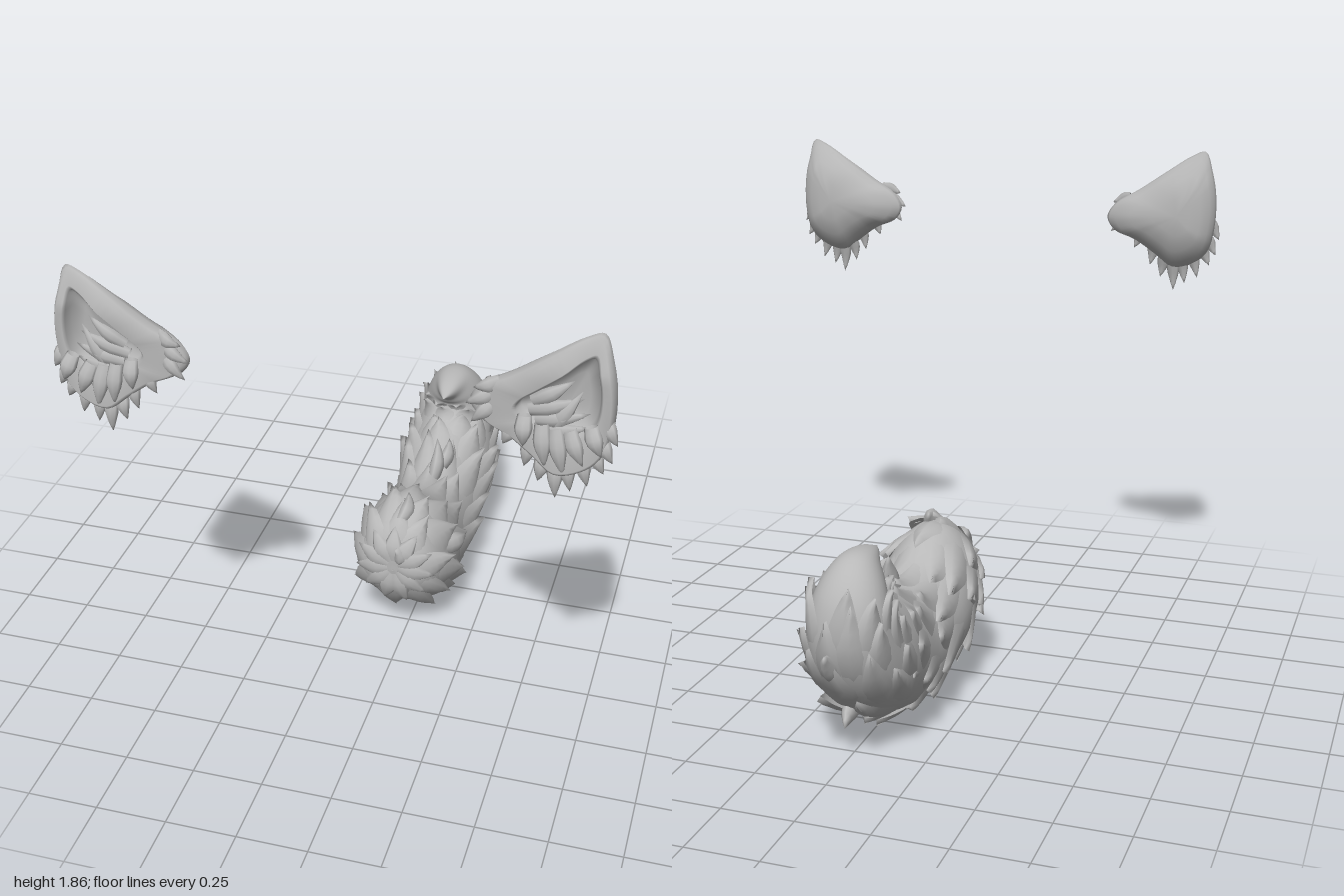
import * as THREE from 'three';
import { mergeVertices, mergeGeometries } from 'three/addons/utils/BufferGeometryUtils.js';

const V = (x, y, z) => new THREE.Vector3(x, y, z);
const fur = new THREE.MeshStandardMaterial({ color: 0xb8b8b8, side: THREE.DoubleSide });
fur.name = 'greyFur';

// Smooth surface through rows i = 0..m and columns j = 0..n of at(i, j)
function grid(m, n, at, flip = false) {
  const pos = [], idx = [];
  for (let i = 0; i <= m; i++) for (let j = 0; j <= n; j++) pos.push(...at(i, j).toArray());
  for (let i = 0; i < m; i++) {
    for (let j = 0; j < n; j++) {
      const a = i * (n + 1) + j, b = a + n + 1, c = a + 1, d = b + 1;
      idx.push(...(flip ? [a, c, b, c, d, b] : [a, b, c, c, b, d]));
    }
  }
  const geo = new THREE.BufferGeometry();
  geo.setAttribute('position', new THREE.Float32BufferAttribute(pos, 3));
  geo.setIndex(idx);
  const merged = mergeVertices(geo, 1e-4);
  merged.computeVertexNormals();
  return merged;
}

function part(name, geo) {
  const mesh = new THREE.Mesh(geo, fur);
  mesh.name = name;
  return mesh;
}

// Width of a lock of fur from root (0) to tip (1)
const taper = t => t < 0.4 ? 0.75 + 0.6 * t : Math.pow((1 - t) / 0.6, 0.85);

// Free-standing pointed lock from a to b, lens-shaped in section
function lock(a, b, normal, width, thick) {
  const d = b.clone().sub(a);
  const side = d.clone().cross(normal).normalize();
  return grid(6, 8, (i, j) => {
    const t = i / 6, q = j / 8 * Math.PI * 2, k = taper(t);
    return a.clone().addScaledVector(d, t)
      .addScaledVector(side, Math.cos(q) * width * k)
      .addScaledVector(normal, Math.sin(q) * thick * k + 0.012 * Math.sin(t * Math.PI));
  });
}

// ---------- Ears ----------
const EAR_OUTLINE = [
  [0.807, 1.855], [0.835, 1.78], [0.853, 1.68], [0.85, 1.56], [0.825, 1.47], [0.77, 1.42],
  [0.69, 1.4], [0.62, 1.45], [0.54, 1.505], [0.46, 1.54], [0.43, 1.59], [0.46, 1.645],
  [0.55, 1.7], [0.66, 1.775], [0.76, 1.84]
];
const EAR_OPENING = [
  [0.79, 1.79], [0.805, 1.74], [0.815, 1.67], [0.81, 1.6], [0.79, 1.555], [0.75, 1.53],
  [0.69, 1.52], [0.65, 1.535], [0.61, 1.555], [0.58, 1.575], [0.565, 1.6], [0.58, 1.63],
  [0.63, 1.67], [0.7, 1.725], [0.76, 1.778]
];
// Locks as root x, y, tip x, y
const EDGE_LOCKS = [
  [0.82, 1.6, 0.867, 1.515], [0.81, 1.54, 0.855, 1.455], [0.79, 1.5, 0.832, 1.415],
  [0.76, 1.48, 0.787, 1.365], [0.72, 1.46, 0.738, 1.34], [0.69, 1.45, 0.695, 1.31],
  [0.66, 1.46, 0.642, 1.36], [0.62, 1.51, 0.6, 1.405], [0.57, 1.55, 0.535, 1.47],
  [0.51, 1.61, 0.44, 1.53], [0.51, 1.64, 0.422, 1.59], [0.52, 1.67, 0.445, 1.645]
];
const INNER_LOCKS = [
  [0.63, 1.57, 0.785, 1.61], [0.61, 1.6, 0.765, 1.655], [0.62, 1.63, 0.735, 1.71],
  [0.65, 1.54, 0.785, 1.565], [0.67, 1.54, 0.76, 1.68]
];
const FRONT_LOCKS = [
  [0.73, 1.56, 0.775, 1.45], [0.69, 1.56, 0.72, 1.41], [0.65, 1.57, 0.665, 1.43],
  [0.79, 1.58, 0.825, 1.49], [0.6, 1.59, 0.6, 1.49]
];

function ear(s, name) {
  const N = 60, clamp = THREE.MathUtils.clamp;
  const curve = pts => new THREE.CatmullRomCurve3(pts.map(p => V(p[0], p[1], 0)), true, 'centripetal');
  const outer = curve(EAR_OUTLINE), inner = curve(EAR_OPENING);
  const place = (x, y, z) => {
    const flat = clamp((1.875 - y) / 0.14, 0.1, 1) * clamp((x - 0.36) / 0.16, 0.2, 1);
    const bend = 0.035 * clamp((1.53 - y) / 0.18, 0, 1);
    return V(s * x, y, 0.9 + (z - 0.9) * flat + bend);
  };
  // Loops from the middle of the back, around the rim, into the hollow
  const loops = [
    [outer, 0, 0.828], [outer, 0.35, 0.831], [outer, 0.65, 0.842], [outer, 0.87, 0.864],
    [outer, 0.97, 0.888], [outer, 1, 0.908], [outer, 0.97, 0.932], [outer, 0.91, 0.945],
    [inner, 1.04, 0.948], [inner, 0.97, 0.938], [inner, 0.9, 0.905], [inner, 0.6, 0.885], [inner, 0, 0.88]
  ];
  const shell = grid(loops.length - 1, N, (i, j) => {
    const [c, k, z] = loops[i], p = c.getPoint((j % N) / N);
    return place(0.715 + (p.x - 0.715) * k, 1.61 + (p.y - 1.61) * k, z);
  }, s < 0);
  const locks = (list, z0, z1, w) => mergeGeometries(list.map(([x0, y0, x1, y1]) =>
    lock(V(s * x0, y0, z0), V(s * x1, y1, z1), V(0, 0, 1), w, 0.016)));
  const group = new THREE.Group();
  group.name = name;
  group.add(part('earShell', shell),
    part('earEdgeFur', locks(EDGE_LOCKS, 0.915, 0.93, 0.026)),
    part('earInnerFur', locks(INNER_LOCKS, 0.935, 0.93, 0.026)),
    part('earFrontFur', locks(FRONT_LOCKS, 0.95, 0.96, 0.028)));
  return group;
}

// ---------- Tail ----------
// Cross-sections: lower z, y, upper z, y, half width
const SECTIONS = [
  [0.17, 0.35, 0.17, 0.36, 0.005], [0.155, 0.26, 0.165, 0.45, 0.1], [0.1, 0.18, 0.12, 0.53, 0.15],
  [0, 0.105, 0.02, 0.565, 0.175], [-0.12, 0.06, -0.08, 0.54, 0.18], [-0.25, 0.035, -0.2, 0.47, 0.17],
  [-0.42, 0.03, -0.33, 0.44, 0.165], [-0.6, 0.075, -0.44, 0.46, 0.17], [-0.76, 0.15, -0.56, 0.5, 0.175],
  [-0.88, 0.27, -0.63, 0.53, 0.16], [-0.94, 0.42, -0.66, 0.56, 0.14], [-0.925, 0.56, -0.665, 0.585, 0.12],
  [-0.87, 0.65, -0.65, 0.605, 0.095], [-0.79, 0.703, -0.635, 0.625, 0.065],
  [-0.68, 0.702, -0.6, 0.648, 0.035], [-0.57, 0.665, -0.57, 0.664, 0.002]
];
const lower = new THREE.CatmullRomCurve3(SECTIONS.map(p => V(p[4], p[1], p[0])));
const upper = new THREE.CatmullRomCurve3(SECTIONS.map(p => V(p[4], p[3], p[2])));

function tailPoint(s, q, lift = 0) {
  const a = lower.getPoint(s), b = upper.getPoint(s), half = b.clone().sub(a).multiplyScalar(0.5);
  const w = Math.max(a.x, 0), len = half.length() + 1e-6, sn = Math.sin(q);
  const p = a.clone().add(b).multiplyScalar(0.5).addScaledVector(half, sn * (1 + lift / len));
  p.x = -0.015 + Math.cos(q) * (w * (1 - 0.14 * sn) + lift);
  return p;
}

function tail() {
  const group = new THREE.Group();
  group.name = 'tail';
  group.add(part('tailBody', grid(60, 32, (i, j) => tailPoint(i / 60, (j % 32) / 32 * Math.PI * 2))));

  // Overlapping locks lying on the body and pointing to the tip
  let seed = 7;
  const rand = () => (seed = (seed * 16807) % 2147483647) / 2147483647;
  const locks = [];
  for (let ring = 0; ring < 10; ring++) {
    for (let k = 0; k < 9; k++) {
      const q0 = (k + (ring % 2) / 2 + 0.35 * (rand() - 0.5)) / 9 * Math.PI * 2 + Math.PI / 2;
      const s0 = 0.03 + ring * 0.066 + 0.03 * rand();
      const length = 0.12 + 0.05 * rand(), rise = 0.014 + 0.02 * rand(), turn = 0.3 * (rand() - 0.5);
      locks.push(grid(7, 4, (i, j) => {
        const t = i / 7, u = j / 2 - 1;
        return tailPoint(s0 + length * t, q0 + turn * t + u * 0.42 * taper(t),
          -0.012 + rise * t * t + 0.02 * (1 - u * u) * Math.sqrt(t) + 0.008 * t);
      }));
    }
  }
  group.add(part('tailFur', mergeGeometries(locks)));

  // Stray tufts along the silhouette: root x, y, z, tip x, y, z
  const tufts = [
    [0, 0.33, -0.88, 0, 0.43, -1], [0, 0.17, -0.7, 0, 0.115, -0.835], [0, 0.42, -0.35, 0, 0.575, -0.42],
    [0.02, 0.45, -0.4, 0.03, 0.53, -0.5], [0, 0.53, 0.1, 0, 0.595, 0], [0, 0.4, 0.13, 0, 0.46, 0.19],
    [0.13, 0.38, 0.02, 0.19, 0.36, -0.12], [-0.15, 0.36, 0.02, -0.22, 0.33, -0.12],
    [0.12, 0.22, -0.5, 0.17, 0.3, -0.72], [-0.15, 0.22, -0.5, -0.2, 0.28, -0.72]
  ];
  group.add(part('tailTufts', mergeGeometries(tufts.map(t =>
    lock(V(t[0], t[1], t[2]), V(t[3], t[4], t[5]), V(1, 0, 0), 0.045, 0.03)))));

  // Rosette of locks hanging over the front end
  const rosette = [];
  for (let k = 0; k < 11; k++) {
    const q = k / 11 * Math.PI * 2 + Math.PI / 2, c = Math.cos(q), n = Math.sin(q);
    rosette.push(lock(V(-0.015 + 0.02 * c, 0.37 + 0.03 * n, 0.165),
      V(-0.015 + 0.155 * c, 0.36 + 0.17 * n, 0.135), V(0, 0, 1), 0.04, 0.015));
  }
  group.add(part('tailFrontRosette', mergeGeometries(rosette)));
  return group;
}

export function createModel() {
  const model = new THREE.Group();
  model.name = 'earsAndTail';
  model.add(ear(1, 'leftEar'), ear(-1, 'rightEar'), tail());
  return model;
}
